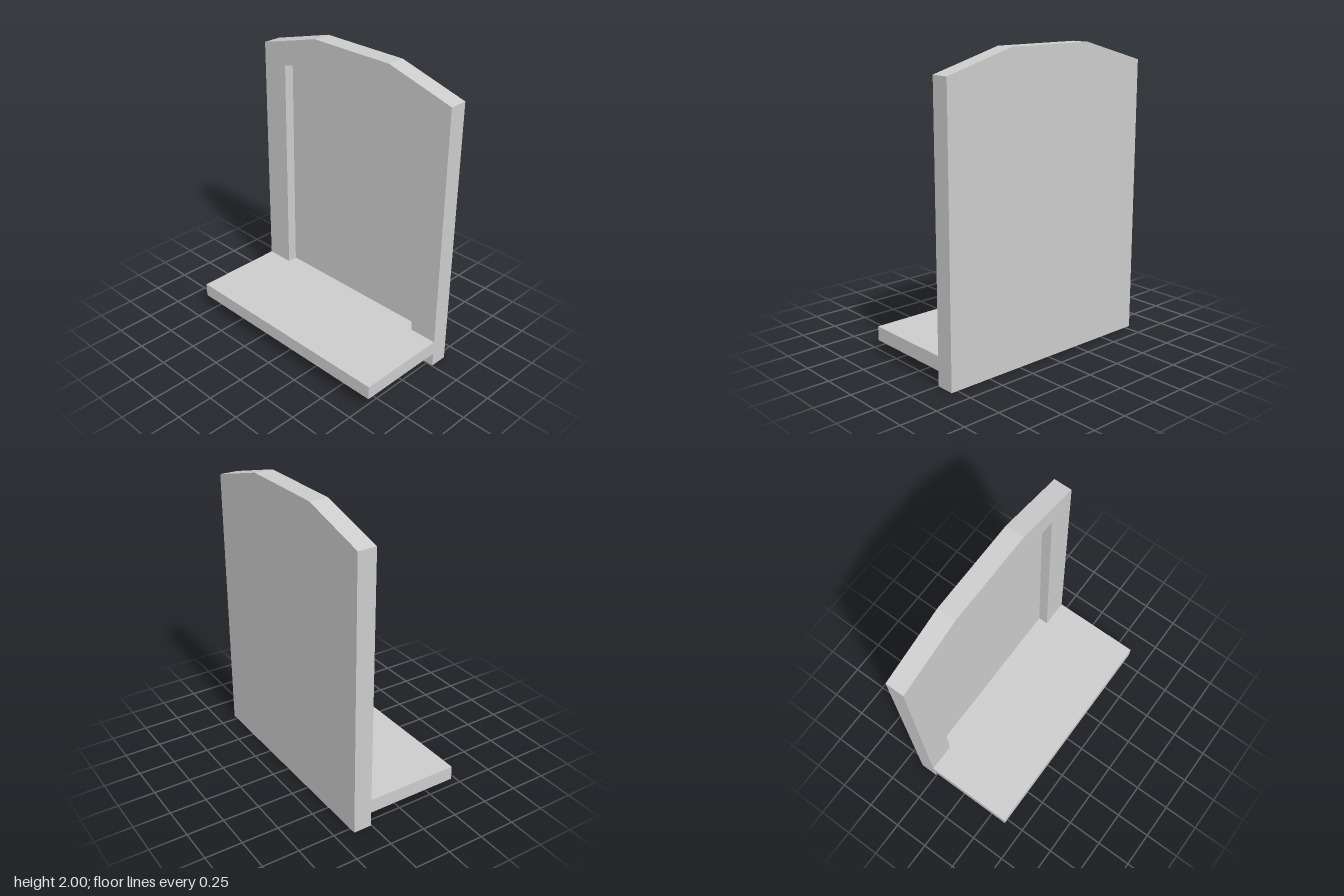
import * as THREE from 'three';

export function createModel() {
  const group = new THREE.Group();
  const stone = new THREE.MeshStandardMaterial({ color: 0xcccccc });
  stone.name = 'plain grey stone';

  const backZ = -0.38, recessZ = -0.325, frontZ = -0.255;

  // Upright outline with a flat top and sloping shoulders
  const arch = (halfWidth, bottom, shoulder, halfTop, top) => [
    [-halfWidth, bottom], [halfWidth, bottom], [halfWidth, shoulder],
    [halfTop, top], [-halfTop, top], [-halfWidth, shoulder],
  ].map(([x, y]) => new THREE.Vector2(x, y));

  const outer = arch(0.795, 0, 1.865, 0.315, 2);
  const inner = arch(0.6, 0.195, 1.75, 0.29, 1.83);

  function addSlab(name, shape, z0, z1) {
    const geometry = new THREE.ExtrudeGeometry(shape, { depth: z1 - z0, bevelEnabled: false });
    geometry.translate(0, 0, z0);
    const mesh = new THREE.Mesh(geometry, stone);
    mesh.name = name;
    group.add(mesh);
  }

  // Solid back panel, with a raised frame around the recess
  addSlab('backPanel', new THREE.Shape(outer), backZ, recessZ);
  const frame = new THREE.Shape(outer);
  frame.holes.push(new THREE.Path(inner));
  addSlab('recessFrame', frame, recessZ, frontZ);

  // Shelf projecting forward from the frame
  const shelf = new THREE.Mesh(new THREE.BoxGeometry(1.59, 0.095, 0.38 - frontZ), stone);
  shelf.position.set(0, 0.1475, (0.38 + frontZ) / 2);
  shelf.name = 'shelf';
  group.add(shelf);

  return group;
}
